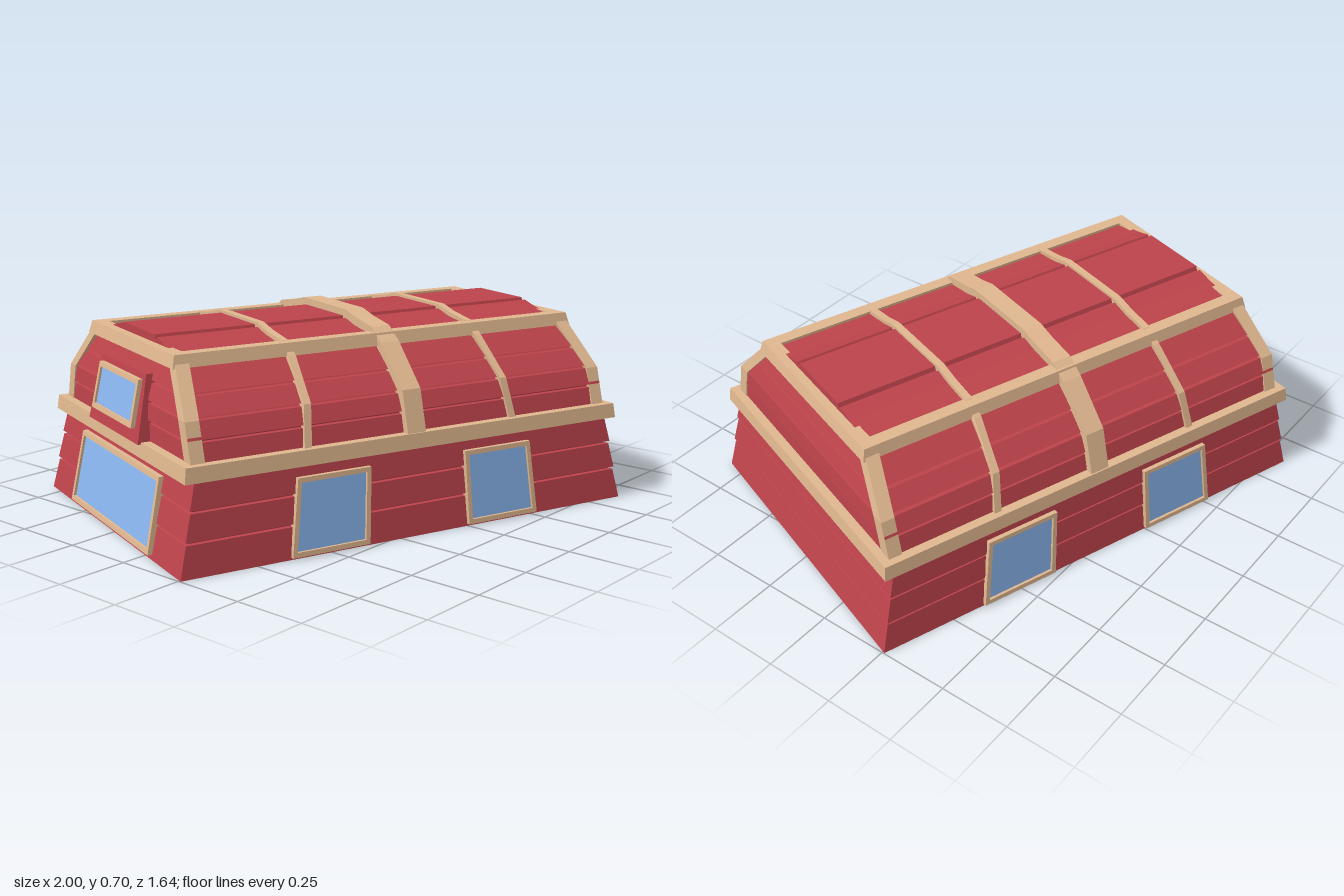
import * as THREE from 'three';

const paint = (color) => new THREE.MeshStandardMaterial({ color, flatShading: true, side: THREE.DoubleSide });

export function createModel() {
  const red = paint(0xbd434b), cream = paint(0xe0b78f), blue = paint(0x8ab6f0);
  const model = new THREE.Group();
  model.name = 'house';
  model.rotation.y = -0.333; // the building stands askew

  const add = (name, geometry, material, parent = model) => {
    const mesh = new THREE.Mesh(geometry, material);
    mesh.name = name;
    parent.add(mesh);
  };

  // Skin over rectangular rings: [y, halfX, halfZ, centreX, centreZ]
  function loft(rings, capTop = false) {
    const corners = rings.map(([y, a, b, cx = 0, cz = 0]) =>
      [[1, 1], [1, -1], [-1, -1], [-1, 1]].map(([sx, sz]) => [cx + sx * a, y, cz + sz * b]));
    const pos = [];
    const quad = (p, q, r, s) => pos.push(...p, ...q, ...r, ...p, ...r, ...s);
    for (let i = 0; i + 1 < corners.length; i++) {
      const lo = corners[i], hi = corners[i + 1];
      for (let k = 0; k < 4; k++) quad(lo[k], lo[(k + 1) % 4], hi[(k + 1) % 4], hi[k]);
    }
    if (capTop) quad(...corners[corners.length - 1]);
    const g = new THREE.BufferGeometry();
    g.setAttribute('position', new THREE.Float32BufferAttribute(pos, 3));
    g.computeVertexNormals();
    return g;
  }

  // Boards [y0, a0, b0, y1, a1, b1] with a recessed groove between neighbours
  const siding = (boards, inset) => loft(boards.flatMap(([y0, a0, b0, y1, a1, b1], i) => [
    ...(i ? [[y0 - 0.002, a0 - inset, b0 - inset]] : []),
    [y0, a0, b0], [y1, a1, b1],
    ...(i < boards.length - 1 ? [[y1 + 0.002, a1 - inset, b1 - inset]] : []),
  ]));

  // The walls lean inward with height
  const wallX = 0.859, wallZ = 0.57;
  const leanX = (y) => 1 - 0.235 * y, leanZ = (y) => 1 - 0.11 * y;
  const board = (y0, y1) => [y0, wallX * leanX(y0), wallZ * leanZ(y0),
    y1, wallX * leanX(y1) - 0.004, wallZ * leanZ(y1) - 0.004];
  add('wallSiding', siding([board(0, 0.104), board(0.114, 0.2), board(0.21, 0.3)], 0.013), red);

  // Smooth inner walls, sloping up to a ceiling
  add('innerLining', loft([
    [0, wallX, wallZ], [0.002, wallX - 0.018, wallZ - 0.018],
    [0.3, 0.77, 0.53], [0.41, 0.57, 0.43],
  ], true), red);

  // Curved lower roof
  add('lowerRoof', siding([
    [0.3, 0.797, 0.535, 0.404, 0.794, 0.51],
    [0.414, 0.798, 0.512, 0.468, 0.793, 0.487],
    [0.478, 0.793, 0.483, 0.53, 0.776, 0.43],
    [0.54, 0.776, 0.426, 0.64, 0.74, 0.305],
  ], 0.014), red);

  // Shallow top roof with two grooves along its length
  const half = [[0.315, 0.62], [0.315, 0.636], [0.21, 0.651], [0.15, 0.667], [0.145, 0.658], [0.135, 0.658], [0.13, 0.673]];
  const arch = (pts) => [...pts, ...pts.map(([w, y]) => [-w, y]).reverse()];
  const profile = (pts) => new THREE.Shape(pts.map(([w, y]) => new THREE.Vector2(w, y)));
  const across = (pts, width) => new THREE.ExtrudeGeometry(profile(pts), { depth: width, bevelEnabled: false })
    .translate(0, 0, -width / 2).rotateY(Math.PI / 2);
  add('topRoof', across(arch(half), 1.47), red);

  // Horizontal trim bands, hollow inside
  const band = (name, y0, y1, a, b, thick, taper) => add(name, loft([
    [y0, a - thick, b - thick], [y0, a, b], [y1, a - taper, b - taper],
    [y1, a - thick, b - thick], [y0, a - thick, b - thick],
  ]), cream);
  band('eavesBand', 0.296, 0.346, 0.833, 0.562, 0.045, 0.006);
  band('upperBand', 0.605, 0.647, 0.775, 0.36, 0.056, 0.01);

  // Corner posts climbing the roof
  for (const sx of [1, -1]) for (const sz of [1, -1]) {
    const ring = (y, a, b) => [y, 0.024, 0.024, sx * (a - 0.024), sz * (b - 0.024)];
    add('cornerPost', loft([ring(0.335, 0.799, 0.534), ring(0.47, 0.799, 0.494), ring(0.62, 0.765, 0.355)]), cream);
  }

  // Ribs arching over the roof: [w, y, outward w, outward y]
  const ribPath = [[0.526, 0.335, 1, 0], [0.488, 0.472, 0.9, 0.45], [0.36, 0.6, 0.7, 0.7],
    [0.31, 0.638, 0.3, 0.9], [0.21, 0.652, 0.2, 1], [0.145, 0.669, 0.1, 1]];
  function rib(name, x, width, rise) {
    const outer = ribPath.map(([w, y, nw, ny]) => [w + nw * rise, y + ny * rise]);
    const inner = ribPath.map(([w, y, nw, ny]) => [w - nw * 0.02, y - ny * 0.02]);
    const g = across([...arch(outer), ...arch(inner).reverse()], width);
    const p = g.attributes.position;
    for (let i = 0; i < p.count; i++) {
      const spread = 1 + 0.1 * Math.max(0, 0.62 - p.getY(i)) / 0.28;
      p.setX(i, p.getX(i) + x * spread);
    }
    g.computeVertexNormals();
    add(name, g, cream);
  }
  rib('centreRib', 0, 0.07, 0.028);
  rib('sideRib', 0.362, 0.026, 0.013);
  rib('sideRib', -0.362, 0.026, 0.013);

  // Framed window that follows the lean of the walls
  function windowUnit(name, offset, y0, y1, width, distance, turn, bar = 0.016) {
    const unit = new THREE.Group();
    unit.name = name;
    const h = y1 - y0, cy = (y0 + y1) / 2;
    const part = (label, w, ht, d, x, y, z, material) => {
      const g = new THREE.BoxGeometry(w, ht, d).translate(offset + x, y, distance + z).rotateY(turn);
      const p = g.attributes.position;
      for (let i = 0; i < p.count; i++) {
        const level = p.getY(i);
        p.setX(i, p.getX(i) * leanX(level));
        p.setZ(i, p.getZ(i) * leanZ(level));
      }
      g.computeVertexNormals();
      add(label, g, material, unit);
    };
    for (const s of [1, -1]) {
      part('jamb', bar, h, 0.042, s * (width - bar) / 2, cy, -0.008, cream);
      part('rail', width - 2 * bar, bar, 0.042, 0, cy + s * (h - bar) / 2, -0.008, cream);
    }
    part('glass', width - 2 * bar, h - 2 * bar, 0.03, 0, cy, -0.011, blue);
    model.add(unit);
  }
  for (const turn of [0, Math.PI]) for (const x of [-0.338, 0.338])
    windowUnit('sideWindow', x, 0.008, 0.262, 0.285, wallZ, turn);
  windowUnit('endWindow', 0, 0.015, 0.262, 0.69, wallX + 0.002, -Math.PI / 2);

  // Small dormer on one end
  const dormerRing = (y, w) => {
    const front = 0.912 * leanX(y);
    return [y, (front - 0.7) / 2, w, -(front + 0.7) / 2];
  };
  add('dormer', loft([dormerRing(0.34, 0.215), dormerRing(0.56, 0.19)], true), red);
  windowUnit('dormerWindow', 0, 0.385, 0.54, 0.36, 0.916, -Math.PI / 2);

  return model;
}
